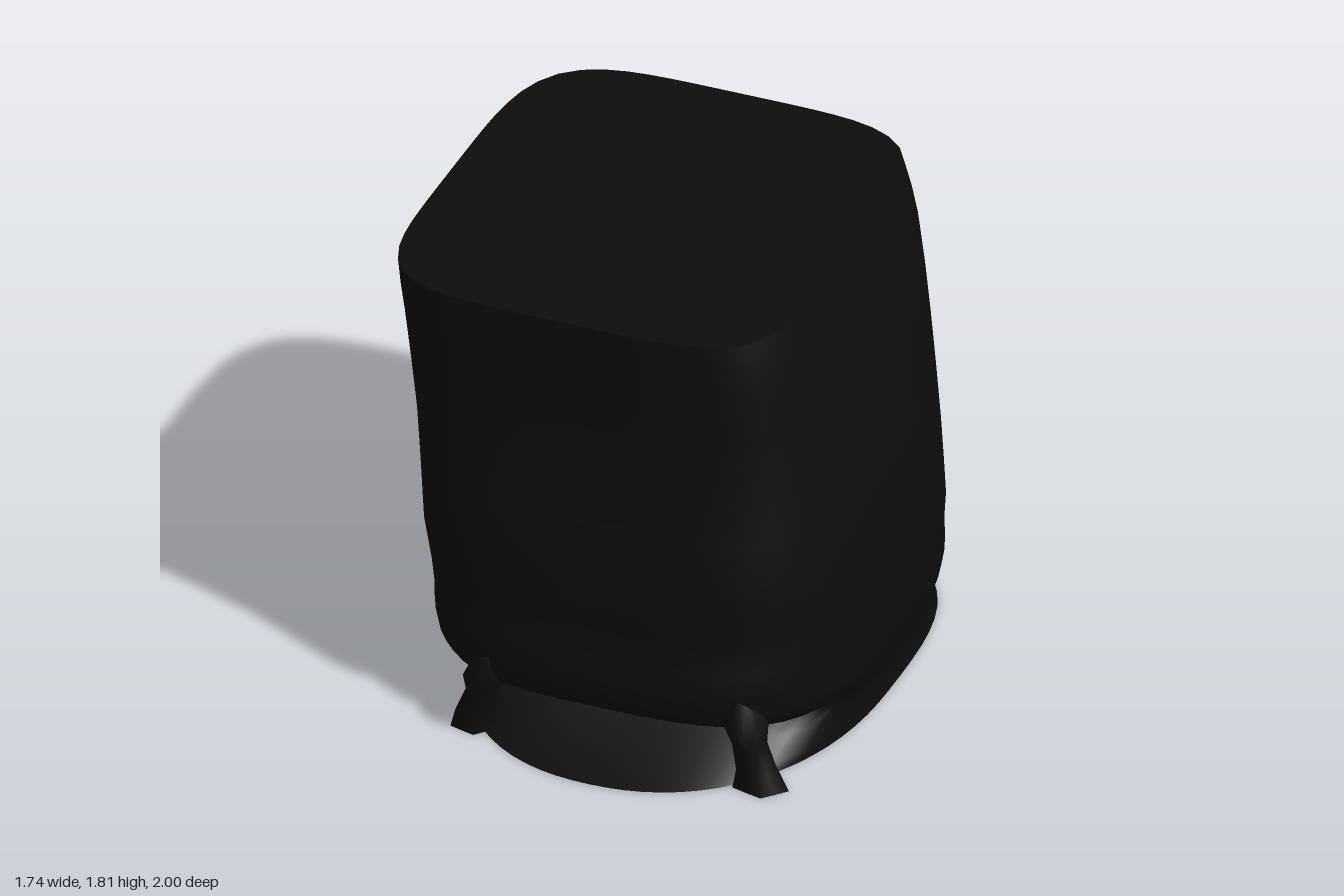
import * as THREE from 'three';

const black = new THREE.MeshStandardMaterial({ color: 0x0d0d0d, side: THREE.DoubleSide });
black.name = 'black sack';
const SEG = 72;

// Levels of the sack: y, left x, right x, back z, front z, back roundness, front roundness
const LEVELS = [
  [0, -0.675, 0.84, -0.955, 1.0, 3.3, 2.2],
  [0.03, -0.67, 0.835, -0.945, 0.86, 3.3, 2.6],
  [0.1, -0.69, 0.83, -0.93, 0.68, 3.3, 3.2],
  [0.15, -0.705, 0.845, -0.945, 0.585, 3.3, 3.6],
  [0.18, -0.715, 0.855, -0.955, 0.57, 3.3, 3.8],
  [0.21, -0.72, 0.86, -0.965, 0.66, 3.3, 3.6],
  [0.235, -0.725, 0.865, -0.975, 0.85, 3.3, 3.3],
  [0.29, -0.74, 0.87, -0.98, 0.89, 3.3, 3.3],
  [0.38, -0.755, 0.868, -0.985, 0.895, 3.3, 3.4],
  [0.47, -0.765, 0.866, -1.0, 0.885, 3.3, 3.5],
  [0.58, -0.775, 0.865, -0.975, 0.86, 3.4, 3.7],
  [0.76, -0.785, 0.86, -0.92, 0.88, 3.6, 3.8],
  [1.0, -0.8, 0.83, -0.895, 0.845, 3.9, 4.0],
  [1.2, -0.815, 0.8, -0.9, 0.815, 4.1, 4.2],
  [1.4, -0.832, 0.77, -0.9, 0.81, 4.3, 4.4],
  [1.6, -0.85, 0.735, -0.9, 0.81, 4.5, 4.6],
  [1.71, -0.86, 0.71, -0.892, 0.81, 4.6, 4.8],
  [1.81, -0.87, 0.68, -0.89, 0.81, 4.6, 4.8],
];

// One rounded-square ring, anticlockwise from +x towards the front
function ring([y, x0, x1, z0, z1, nBack, nFront]) {
  const cx = (x0 + x1) / 2, a = (x1 - x0) / 2, pts = [];
  for (let i = 0; i < SEG; i++) {
    const t = (i / SEG) * Math.PI * 2, c = Math.cos(t), s = Math.sin(t);
    const n = s > 0 ? nFront : nBack;
    const r = Math.pow(Math.abs(c) ** n + Math.abs(s) ** n, -1 / n);
    // Shallow slanting creases in the lower cloth
    const amount = 0.008 * Math.max(0, 1 - Math.abs(y - 0.52) / 0.3);
    const k = r * (1 - amount * (1 + Math.sin(t * 5 + y * 16)));
    pts.push(new THREE.Vector3(cx + a * c * k, y, (s > 0 ? z1 : -z0) * s * k));
  }
  return pts;
}

// Skin joining a stack of rings, bottom to top
function skin(rings) {
  const n = rings[0].length, index = [];
  for (let j = 0; j < rings.length - 1; j++) {
    for (let i = 0; i < n; i++) {
      const a = j * n + i, b = j * n + ((i + 1) % n);
      index.push(a, a + n, b, b, a + n, b + n);
    }
  }
  const g = new THREE.BufferGeometry().setFromPoints(rings.flat());
  g.setIndex(index);
  g.computeVertexNormals();
  return g;
}

// Flat lid over a ring
function lid(pts, up) {
  const index = [], n = pts.length;
  for (let i = 0; i < n; i++) {
    const j = (i + 1) % n;
    index.push(n, up ? j : i, up ? i : j);
  }
  const y = pts[0].y;
  const g = new THREE.BufferGeometry().setFromPoints([...pts, new THREE.Vector3(0, y, 0)]);
  g.setIndex(index);
  g.computeVertexNormals();
  return g;
}

// Gathered cloth end: y, centre x, centre z, half width, half depth
function tassel(levels) {
  return skin(levels.map(([y, x, z, w, d]) => {
    const pts = [];
    for (let i = 0; i < 10; i++) {
      const t = (i / 10) * Math.PI * 2, k = i % 2 ? 0.82 : 1;
      pts.push(new THREE.Vector3(x + w * k * Math.cos(t), y, z + d * k * Math.sin(t)));
    }
    return pts;
  }));
}

export function createModel() {
  const model = new THREE.Group();
  model.name = 'sack';
  const add = (name, geometry) => {
    const mesh = new THREE.Mesh(geometry, black);
    mesh.name = name;
    model.add(mesh);
  };

  // Cloth body with its folded front hem, closed above and below
  const rings = LEVELS.map(ring);
  add('body', skin(rings));
  add('topPanel', lid(rings[rings.length - 1], true));
  add('basePanel', lid(rings[0], false));

  // Gathered ends at both front corners
  add('leftTassel', tassel([
    [0, 0.66, 0.77, 0.11, 0.09],
    [0.08, 0.65, 0.775, 0.08, 0.08],
    [0.18, 0.62, 0.77, 0.065, 0.08],
    [0.26, 0.61, 0.77, 0.08, 0.12],
    [0.36, 0.58, 0.75, 0.05, 0.08],
  ]));
  add('rightTassel', tassel([
    [0, -0.46, 0.77, 0.09, 0.08],
    [0.08, -0.45, 0.775, 0.075, 0.08],
    [0.18, -0.42, 0.78, 0.06, 0.08],
    [0.26, -0.4, 0.8, 0.08, 0.11],
    [0.36, -0.38, 0.78, 0.05, 0.08],
  ]));
  return model;
}
